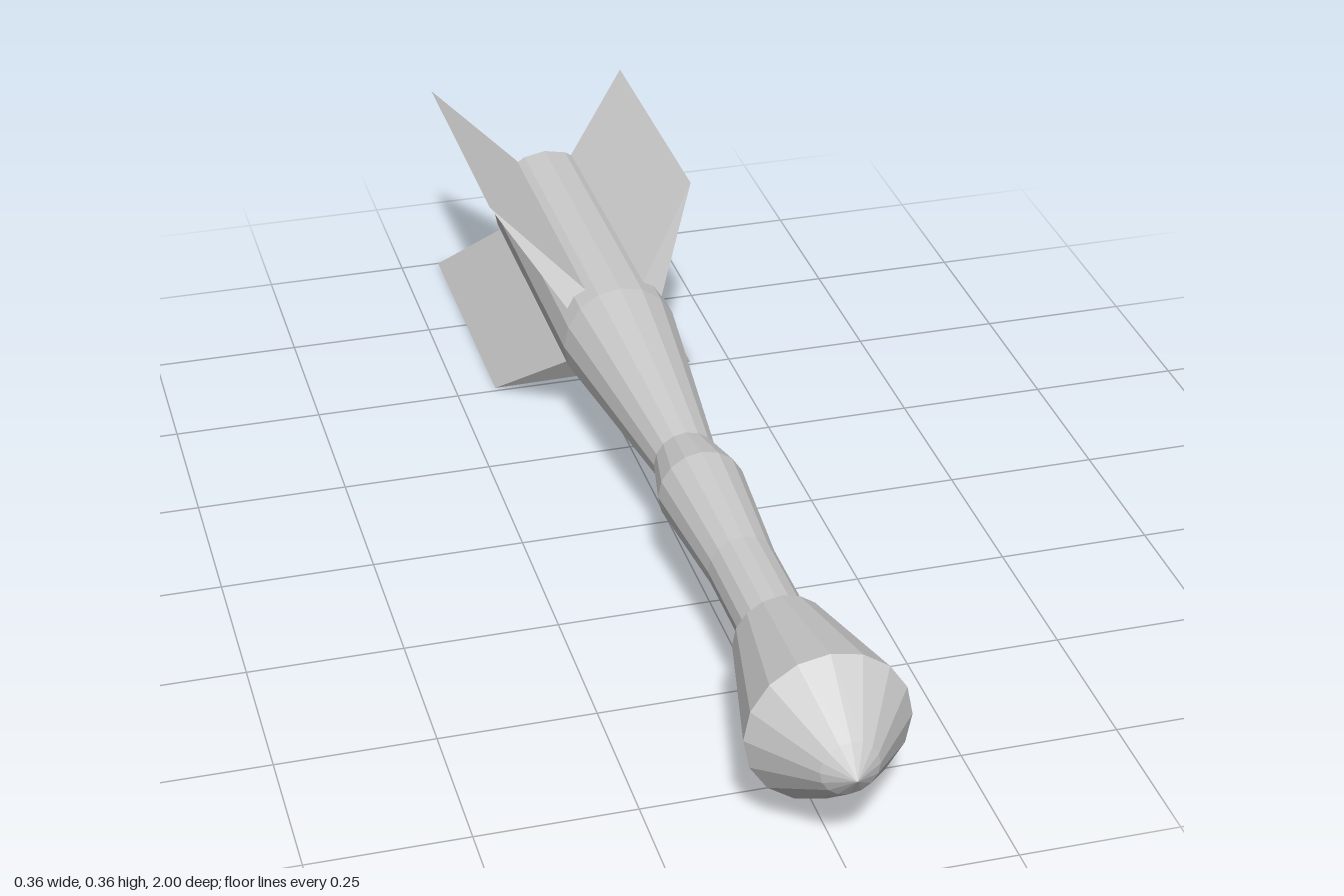
import * as THREE from 'three';

const AXIS_HEIGHT = 0.18;

export function createModel() {
  const model = new THREE.Group();
  model.name = 'finnedProjectile';
  const material = new THREE.MeshStandardMaterial({ color: 0xcccccc, flatShading: true });

  function add(name, geometry) {
    const mesh = new THREE.Mesh(geometry, material);
    mesh.name = name;
    mesh.position.y = AXIS_HEIGHT;
    model.add(mesh);
  }

  // 16-sided turned part along z; profile is [radius, z] from back to front
  function turned(profile) {
    const points = profile.map(([r, z]) => new THREE.Vector2(r, z));
    return new THREE.LatheGeometry(points, 16).rotateX(Math.PI / 2);
  }

  // Tail tube with hollow rear, swelling collar and thin neck
  add('body', turned([
    [0, -0.78], [0.02, -0.78], [0.1, -0.86], [0.1, -0.31],
    [0.053, 0.105], [0.072, 0.2], [0.055, 0.43], [0.055, 0.64],
  ]));

  // Flared head with a blunt pointed tip
  add('head', turned([
    [0, 0.63], [0.075, 0.63], [0.127, 0.865], [0.045, 0.967], [0, 1],
  ]));

  // Fin stations from the axis outwards, giving a thin diamond section
  const stations = [
    { r: 0.02, half: 0.008, lead: -0.28, trail: -0.8 },
    { r: 0.095, half: 0.023, lead: -0.35, trail: -0.865 },
    { r: 0.2546, half: 0, lead: -0.51, trail: -1 },
  ];

  function finGeometry() {
    const geometry = new THREE.BoxGeometry(2, 2, 2, 2, 1, 1);
    const p = geometry.attributes.position;
    for (let i = 0; i < p.count; i++) {
      const s = stations[Math.round(p.getX(i)) + 1];
      p.setXYZ(i, s.r, p.getY(i) * s.half, p.getZ(i) > 0 ? s.lead : s.trail);
    }
    geometry.computeVertexNormals();
    return geometry;
  }

  // Four swept tail fins set diagonally
  ['upperLeftFin', 'upperRightFin', 'lowerRightFin', 'lowerLeftFin'].forEach((name, i) => {
    add(name, finGeometry().rotateZ(Math.PI / 4 + i * Math.PI / 2));
  });

  return model;
}
